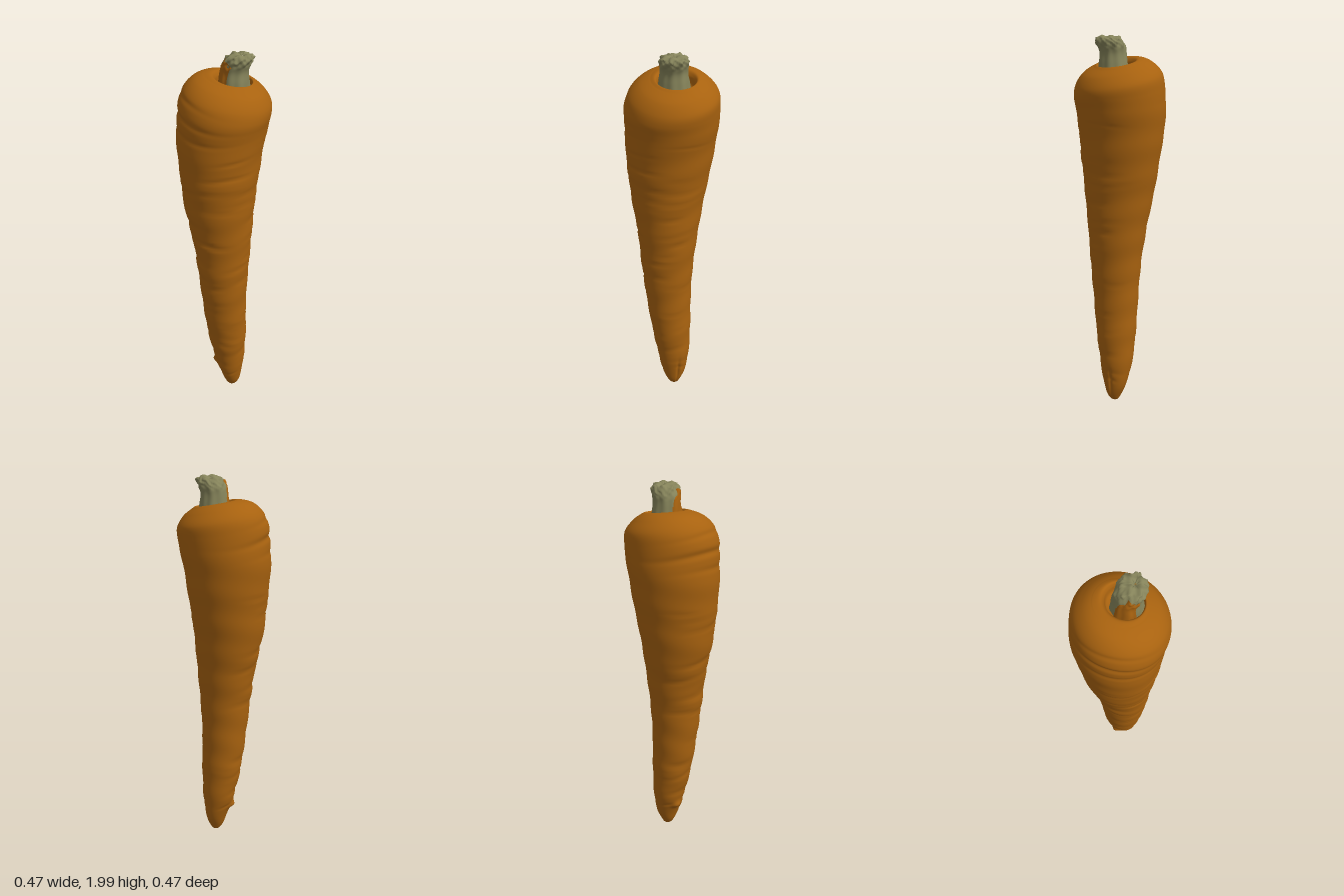
import * as THREE from 'three';

const orange = new THREE.MeshStandardMaterial({ color: 0xa8620f });
orange.name = 'carrot orange';
const green = new THREE.MeshStandardMaterial({ color: 0x85835a });
green.name = 'stem green';
const shellOrange = orange.clone();
shellOrange.side = THREE.DoubleSide;

// small seeded generator
function seeded(seed) {
  return () => {
    seed = (seed * 16807) % 2147483647;
    return seed / 2147483647;
  };
}

const angleGap = (a, b) => Math.abs(Math.atan2(Math.sin(a - b), Math.cos(a - b)));
const bell = (d, w) => Math.exp(-(d * d) / (w * w));

// Smooth skin over oval sections [y, xMin, xMax, zBack, zFront]; deform(point, angle, outward) adds relief
function loft(sections, rows, cols, deform, from = 0, to = Math.PI * 2) {
  const closed = to - from > 6.28;
  const xs = new THREE.CatmullRomCurve3(sections.map(s => new THREE.Vector3(s[1], s[0], s[2])));
  const zs = new THREE.CatmullRomCurve3(sections.map(s => new THREE.Vector3(s[3], s[0], s[4])));
  const count = closed ? cols : cols + 1;
  const positions = [], index = [];
  const p = new THREE.Vector3(), out = new THREE.Vector3();
  for (let i = 0; i <= rows; i++) {
    const a = xs.getPoint(i / rows), b = zs.getPoint(i / rows);
    for (let j = 0; j < count; j++) {
      const t = from + (to - from) * j / cols;
      out.set(Math.cos(t), 0, Math.sin(t));
      p.set((a.x + a.z) / 2 + out.x * (a.z - a.x) / 2, a.y, (b.x + b.z) / 2 + out.z * (b.z - b.x) / 2);
      deform(p, t, out, i / rows);
      positions.push(p.x, p.y, p.z);
      if (i < rows && j < cols) {
        const k = i * count + j, n = i * count + (j + 1) % count;
        index.push(k, k + count, n, n, k + count, n + count);
      }
    }
  }
  const geometry = new THREE.BufferGeometry();
  geometry.setAttribute('position', new THREE.Float32BufferAttribute(positions, 3));
  geometry.setIndex(index);
  geometry.computeVertexNormals();
  return geometry;
}

const rootSections = [
  [0.008, 0.049, 0.051, -0.011, -0.009],
  [0.015, 0.03, 0.07, -0.03, 0.012],
  [0.045, 0.01, 0.09, -0.047, 0.032],
  [0.1, -0.01, 0.103, -0.07, 0.055],
  [0.2, -0.045, 0.117, -0.09, 0.078],
  [0.4, -0.085, 0.13, -0.1, 0.115],
  [0.6, -0.105, 0.132, -0.102, 0.143],
  [0.8, -0.125, 0.142, -0.112, 0.165],
  [1.0, -0.155, 0.155, -0.135, 0.182],
  [1.2, -0.195, 0.167, -0.165, 0.21],
  [1.4, -0.217, 0.187, -0.2, 0.23],
  [1.55, -0.232, 0.205, -0.222, 0.235],
  [1.65, -0.23, 0.224, -0.232, 0.237],
  [1.72, -0.22, 0.233, -0.235, 0.234],
  [1.78, -0.198, 0.231, -0.226, 0.215],
  [1.83, -0.155, 0.205, -0.187, 0.167],
  [1.86, -0.1, 0.155, -0.145, 0.107],
  [1.866, -0.06, 0.137, -0.12, 0.082],
  [1.85, -0.045, 0.132, -0.11, 0.073],
  [1.81, -0.035, 0.13, -0.1, 0.068],
  [1.8, 0.045, 0.055, -0.016, -0.014],
];

const stemSections = [
  [1.79, -0.028, 0.13, -0.092, 0.07],
  [1.86, -0.018, 0.124, -0.08, 0.065],
  [1.91, -0.012, 0.122, -0.072, 0.058],
  [1.945, -0.004, 0.134, -0.074, 0.062],
  [1.97, 0.014, 0.143, -0.072, 0.064],
  [1.988, 0.04, 0.134, -0.058, 0.05],
  [1.99, 0.065, 0.115, -0.03, 0.02],
  [1.985, 0.089, 0.091, -0.006, -0.004],
];

// Short horizontal wrinkles, mostly on the front and left-hand flanks of the root
function makeWrinkles() {
  const random = seeded(421);
  const list = [];
  for (let i = 0; i < 60; i++) {
    list.push({ y: 0.12 + 1.5 * random(), angle: -0.6 + 4.3 * random(), spread: 0.3 + 0.6 * random(),
      depth: 0.002 + 0.003 * random(), width: 0.008 + 0.006 * random() });
  }
  // deep folds under the shoulder
  list.push({ y: 1.675, angle: 2.6, spread: 1.0, depth: 0.009, width: 0.014 });
  list.push({ y: 1.61, angle: 2.2, spread: 0.9, depth: 0.005, width: 0.012 });
  list.push({ y: 1.75, angle: 2.5, spread: 0.8, depth: 0.004, width: 0.012 });
  return list;
}

function rootRelief() {
  const wrinkles = makeWrinkles();
  return (p, t, out, v) => {
    const y = p.y;
    let d = 0;
    if (v < 0.8) {
      for (const w of wrinkles) {
        const dy = y - w.y - 0.012 * Math.sin(t * 2 + w.y * 9);
        if (Math.abs(dy) < 0.06) d -= w.depth * bell(dy, w.width) * bell(angleGap(t, w.angle), w.spread);
      }
      d += 0.0015 * Math.sin(y * 37 + Math.sin(t) * 2) * Math.min(1, y * 5);
      // side nub and the split beside the tip
      d += 0.018 * bell(y - 0.18, 0.018) * bell(angleGap(t, 2.9), 0.3);
      d -= 0.012 * bell(y - 0.13, 0.07) * bell(angleGap(t, -0.35), 0.1);
    }
    p.addScaledVector(out, d);
    // the crown slopes down toward +x
    p.y -= 0.2 * (p.x - 0.03) * THREE.MathUtils.smoothstep(y, 1.55, 1.84);
  };
}

// Ribbed stalk with a ragged, broken top
function stemRelief(offset) {
  return (p, t, out) => {
    const ragged = THREE.MathUtils.smoothstep(p.y, 1.92, 1.98);
    const rib = 0.002 * Math.sin(t * 9) + 0.0015 * Math.sin(t * 5 + p.y * 40);
    const torn = 0.006 * Math.sin(t * 7 + p.y * 130) + 0.004 * Math.sin(t * 13 - p.y * 210);
    p.addScaledVector(out, offset + rib + torn * ragged * 0.8);
    p.y += ragged * (0.006 * Math.sin(p.x * 110 + 1) * Math.cos(p.z * 95));
  };
}

export function createModel() {
  const group = new THREE.Group();
  group.name = 'carrot';
  const add = (name, geometry, material) => {
    const mesh = new THREE.Mesh(geometry, material);
    mesh.name = name;
    group.add(mesh);
  };

  add('root', loft(rootSections, 260, 72, rootRelief()), orange);
  add('stem', loft(stemSections, 48, 56, stemRelief(0)), green);

  // scrap of orange skin clinging to the front of the stem
  const cling = stemRelief(0.004);
  const skin = loft(stemSections.slice(0, 5), 24, 16, (p, t, out, v) => {
    cling(p, t, out);
    p.y -= 0.035 * v * (1 - Math.sin((t - 1.75) / 1.35 * Math.PI)) + 0.004 * Math.sin(t * 17);
  }, 1.75, 3.1);
  add('stemSkin', skin, shellOrange);

  return group;
}
